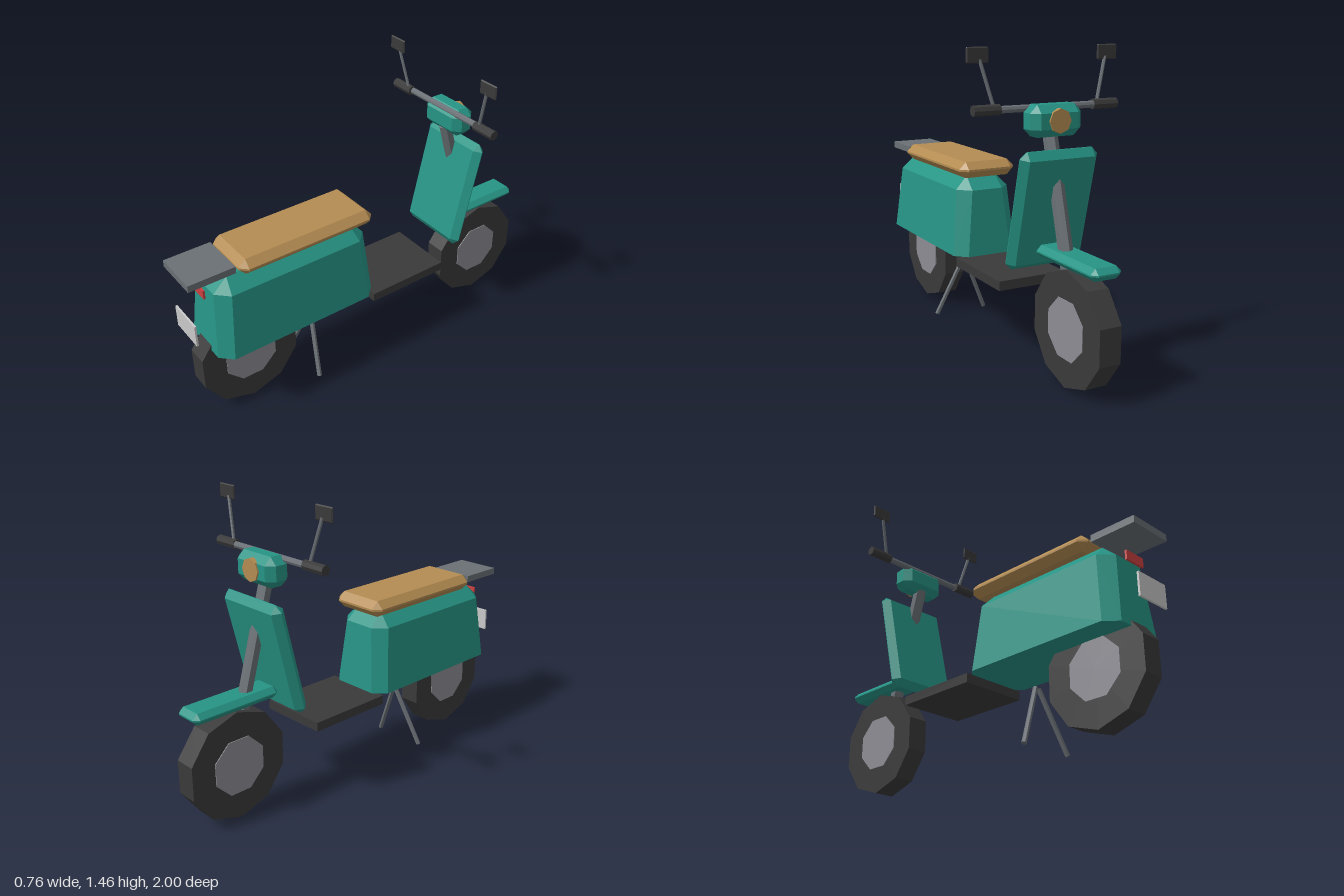
import * as THREE from 'three';
import { ConvexGeometry } from 'three/addons/geometries/ConvexGeometry.js';

const paint = (name, color) => {
  const m = new THREE.MeshStandardMaterial({ color });
  m.name = name;
  return m;
};

// Faceted copy of a geometry
function faceted(geometry) {
  const g = geometry.index ? geometry.toNonIndexed() : geometry;
  g.computeVertexNormals();
  return g;
}

// Box with single-step chamfers on every edge and corner
function bevelBox(w, h, d, b) {
  const pts = [];
  const [x, y, z] = [w / 2, h / 2, d / 2];
  for (const sx of [-1, 1]) for (const sy of [-1, 1]) for (const sz of [-1, 1]) {
    pts.push(new THREE.Vector3(sx * x, sy * (y - b), sz * (z - b)));
    pts.push(new THREE.Vector3(sx * (x - b), sy * y, sz * (z - b)));
    pts.push(new THREE.Vector3(sx * (x - b), sy * (y - b), sz * z));
  }
  return faceted(new ConvexGeometry(pts));
}

// Hull through stacked rectangles [y, halfWidth, zMin, zMax, cornerCut]
function taperedHull(levels) {
  const pts = [];
  for (const [y, hx, z0, z1, c] of levels) for (const s of [-1, 1]) {
    pts.push(new THREE.Vector3(s * hx, y, z0 + c), new THREE.Vector3(s * hx, y, z1 - c));
    if (c > 0) pts.push(new THREE.Vector3(s * (hx - c), y, z0), new THREE.Vector3(s * (hx - c), y, z1));
  }
  return faceted(new ConvexGeometry(pts));
}

// Straight rod between two points
function rod(a, b, radius, sides) {
  const from = new THREE.Vector3(...a), to = new THREE.Vector3(...b);
  const dir = to.clone().sub(from);
  const g = new THREE.CylinderGeometry(radius, radius, dir.length(), sides);
  g.applyQuaternion(new THREE.Quaternion().setFromUnitVectors(new THREE.Vector3(0, 1, 0), dir.normalize()));
  g.translate(...from.add(to).multiplyScalar(0.5).toArray());
  return faceted(g);
}

// Disc whose axis runs along x
function disc(radius, width, sides, start) {
  const g = new THREE.CylinderGeometry(radius, radius, width, sides, 1, false, start);
  return faceted(g.rotateZ(Math.PI / 2));
}

export function createModel() {
  const group = new THREE.Group();
  group.name = 'scooter';

  const teal = paint('teal paint', 0x269485);
  const rubber = paint('dark rubber', 0x3a3a3a);
  const tan = paint('tan leather', 0xb48c52);
  const metal = paint('grey metal', 0x6a7075);
  const hubGrey = paint('hub grey', 0x8c8c93);
  const red = paint('red lens', 0xcc4040);
  const white = paint('plate white', 0xc9c9c9);

  const add = (name, geometry, material, x = 0, y = 0, z = 0) => {
    const mesh = new THREE.Mesh(geometry, material);
    mesh.name = name;
    mesh.position.set(x, y, z);
    group.add(mesh);
    return mesh;
  };

  // Wheels
  for (const [name, z] of [['front', -0.745], ['rear', 0.702]]) {
    add(name + 'Tyre', disc(0.265, 0.106, 10, Math.PI / 2), rubber, 0, 0.275, z);
    add(name + 'Hub', disc(0.143, 0.114, 8, Math.PI / 8), hubGrey, 0, 0.275, z);
  }

  // Rear body, seat and floor
  add('rearBody', taperedHull([
    [0.405, 0.175, 0.035, 0.902, 0.057],
    [0.735, 0.143, 0.062, 0.873, 0.06],
    [0.8, 0.078, 0.136, 0.8, 0],
  ]), teal);
  add('seat', bevelBox(0.3, 0.08, 0.72, 0.035), tan, 0, 0.84, 0.395);
  add('floorboard', new THREE.BoxGeometry(0.35, 0.045, 0.44), rubber, 0, 0.383, -0.162);

  // Tail fittings
  add('luggageRack', new THREE.BoxGeometry(0.23, 0.034, 0.232), metal, 0, 0.843, 0.884);
  add('tailLight', new THREE.BoxGeometry(0.116, 0.045, 0.01), red, 0, 0.732, 0.905);
  add('numberPlate', new THREE.BoxGeometry(0.184, 0.112, 0.01), white, 0, 0.555, 0.98);

  // Front end
  add('legShield', bevelBox(0.39, 0.56, 0.068, 0.032), teal, 0, 0.757, -0.533).rotation.x = -0.24;
  add('steeringColumn', rod([0, 0.52, -0.677], [0, 1.1, -0.512], 0.033, 6), metal);
  add('frontFender', bevelBox(0.15, 0.055, 0.46, 0.024), teal, 0, 0.573, -0.745);
  add('headset', bevelBox(0.255, 0.14, 0.125, 0.035), teal, 0, 1.149, -0.533);
  add('headlight', rod([0, 1.15, -0.58], [0, 1.15, -0.603], 0.054, 8), tan);
  add('handlebar', rod([-0.25, 1.2, -0.495], [0.25, 1.2, -0.495], 0.016, 8), metal);

  // Paired grips, mirrors and stand legs
  for (const [side, s] of [['left', 1], ['right', -1]]) {
    add(side + 'Grip', rod([s * 0.235, 1.2, -0.49], [s * 0.362, 1.2, -0.49], 0.024, 8), rubber);
    add(side + 'MirrorStem', rod([s * 0.261, 1.21, -0.487], [s * 0.316, 1.41, -0.464], 0.008, 6), metal);
    add(side + 'Mirror', bevelBox(0.105, 0.068, 0.012, 0.005), rubber, s * 0.326, 1.428, -0.463);
    add(side + 'StandLeg', rod([s * 0.01, 0.302, 0.33], [s * 0.14, 0.008, 0.375], 0.012, 6), metal);
  }

  return group;
}
